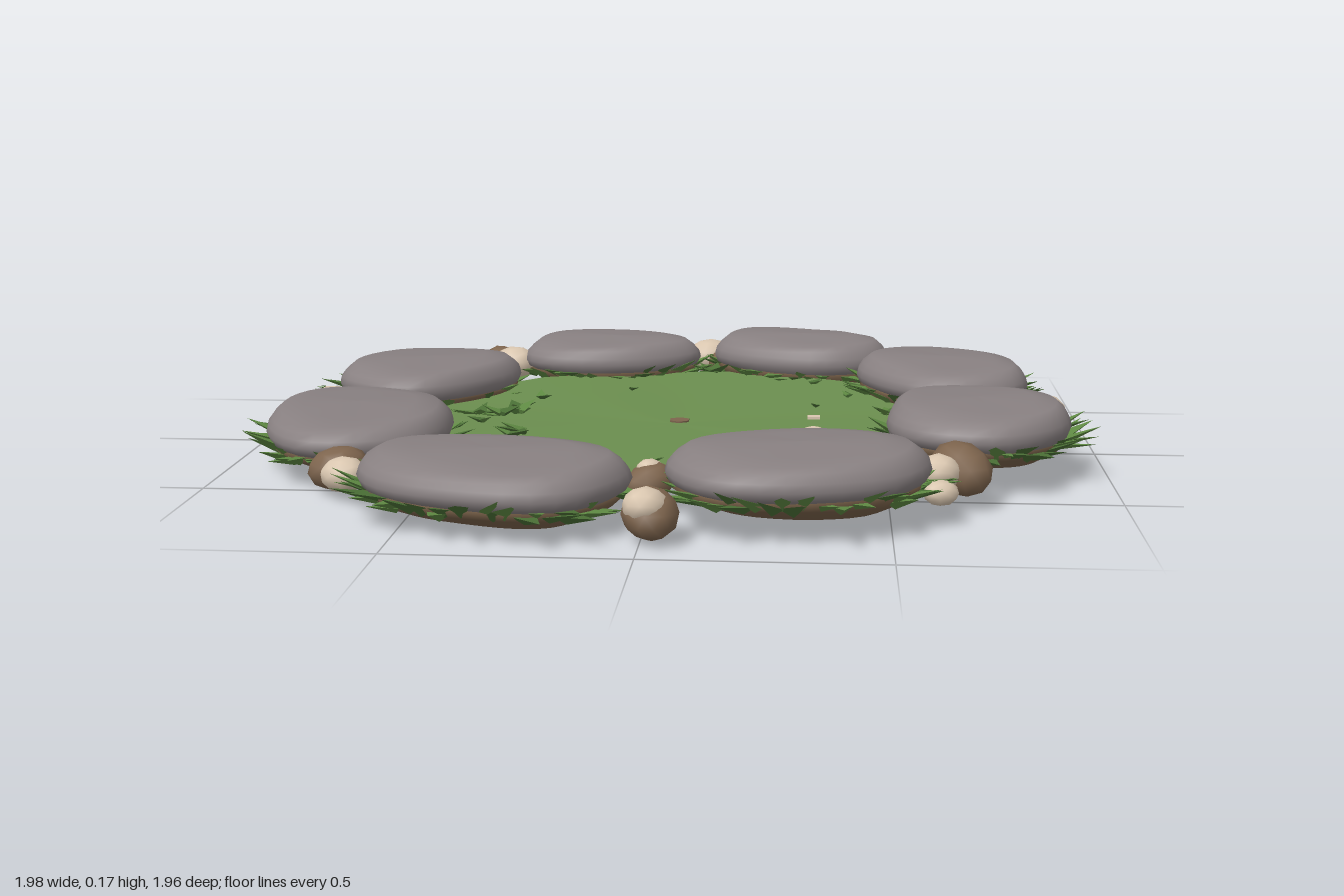
import * as THREE from 'three';
import { mergeGeometries } from 'three/addons/utils/BufferGeometryUtils.js';

const mat = (name, color, extra = {}) => new THREE.MeshStandardMaterial({ name, color, ...extra });

function seeded(seed) {
  return () => {
    seed = (seed * 16807) % 2147483647;
    return seed / 2147483647;
  };
}

// Centre x, z, half length, half width, turn, base height, top height
const STONES = [
  [-0.225, -0.73, 0.24, 0.182, 0.2, 0.012, 0.156],
  [0.295, -0.715, 0.24, 0.182, -0.4, 0.02, 0.17],
  [0.66, -0.35, 0.25, 0.2, -1.2, 0.03, 0.175],
  [0.705, 0.205, 0.25, 0.206, 1.45, 0.03, 0.178],
  [0.315, 0.665, 0.28, 0.215, 0.4, 0.02, 0.168],
  [-0.32, 0.695, 0.293, 0.222, -0.3, 0, 0.15],
  [-0.715, 0.205, 0.283, 0.215, -1.4, 0.002, 0.146],
  [-0.66, -0.38, 0.25, 0.205, 1.0, 0.008, 0.152],
];

const lawnHeight = (x, z) => 0.06 + 0.012 * x + 0.03 * (x * x + z * z);

// Rounded-oblong outline of a stone, with a gentle irregularity
function outline(a, b, t, seed) {
  const c = Math.cos(t), s = Math.sin(t), e = 2 / 2.2;
  const k = 1 + 0.018 * Math.sin(3 * t + seed) + 0.012 * Math.sin(5 * t + 2 * seed);
  return [a * k * Math.sign(c) * Math.abs(c) ** e, b * k * Math.sign(s) * Math.abs(s) ** e];
}

// Closed lump from [scale, height] rings, listed bottom to top
function lump(a, b, rings, seed, n = 32) {
  const pos = [], idx = [];
  rings.forEach(([r, y], j) => {
    for (let i = 0; i < n; i++) {
      const t = (i / n) * Math.PI * 2;
      const [x, z] = outline(a, b, t, seed);
      const wob = r > 0 && r < 0.95 ? 0.004 * Math.sin(2 * t + seed * 1.7 + j) : 0;
      pos.push(x * r, y + wob, z * r);
    }
  });
  for (let j = 0; j < rings.length - 1; j++) {
    for (let i = 0; i < n; i++) {
      const p = j * n + i, q = j * n + ((i + 1) % n);
      idx.push(p, p + n, q, q, p + n, q + n);
    }
  }
  const g = new THREE.BufferGeometry();
  g.setAttribute('position', new THREE.Float32BufferAttribute(pos, 3));
  g.setIndex(idx);
  g.computeVertexNormals();
  return g;
}

// Flattened three-sided spike starting at x, y, z and pointing along heading
function blade(x, y, z, heading, length, width, pitch) {
  const g = new THREE.ConeGeometry(width, length, 3, 1);
  g.translate(0, length / 2, 0);
  g.scale(1, 1, 0.4);
  g.rotateX(Math.PI / 2 - pitch);
  g.rotateY(heading);
  g.translate(x, y, z);
  return g;
}

export function createModel() {
  const model = new THREE.Group();
  const rand = seeded(4711);
  const between = (lo, hi) => lo + (hi - lo) * rand();

  const stoneGrey = mat('stone grey', 0x888081);
  const soil = mat('soil brown', 0x7a624a);
  const lawn = mat('lawn green', 0x6b8e4f, { side: THREE.DoubleSide });
  const leaf = mat('leaf green', 0x5f8a43, { flatShading: true });
  const darkLeaf = mat('dark leaf green', 0x4b7036, { flatShading: true });
  const paleRock = mat('pale pebble', 0xdac7b0);
  const brownRock = mat('brown pebble', 0x7d644d);

  const add = (name, geometry, material, parent = model) => {
    const m = new THREE.Mesh(geometry, material);
    m.name = name;
    parent.add(m);
  };

  // Lawn: thin, slightly dished sheet reaching out between the stones
  const disc = new THREE.RingGeometry(0.001, 0.64, 40, 6).rotateX(-Math.PI / 2);
  const p = disc.attributes.position;
  for (let i = 0; i < p.count; i++) {
    const x = p.getX(i), z = p.getZ(i), r = Math.hypot(x, z), t = Math.atan2(z, x);
    const k = 1 + 0.03 * Math.sin(8 * t + 0.6) * (r / 0.64);
    p.setXYZ(i, x * k, lawnHeight(x, z) + 0.005 * Math.sin(5 * t) * r, z * k);
  }
  disc.computeVertexNormals();
  add('lawn', disc, lawn);
  add('lawnCentre', new THREE.CylinderGeometry(0.026, 0.026, 0.008, 6).translate(0.012, 0.06, -0.035), brownRock);

  // Stones, each on a soil mound with grass around its rim
  const bright = [], dark = [];
  const grow = (...args) => (rand() < 0.6 ? bright : dark).push(blade(...args));
  STONES.forEach(([x, z, a, b, turn, base, top], s) => {
    const place = new THREE.Group();
    place.name = 'stone' + (s + 1);
    place.position.set(x, 0, z);
    place.rotation.y = turn;
    model.add(place);

    const low = base + 0.062, h = top - low;
    add('stoneTop', lump(a, b, [
      [0, low], [0.9, low], [0.97, low + h * 0.12], [1, low + h * 0.32], [0.98, low + h * 0.52],
      [0.93, low + h * 0.72], [0.84, low + h * 0.88], [0.6, top - 0.004], [0, top],
    ], s), stoneGrey, place);
    add('soilMound', lump(a, b, [
      [0, base + 0.004], [0.4, base + 0.007], [0.68, base + 0.02], [0.87, base + 0.042],
      [0.96, base + 0.062], [0.9, base + 0.072], [0, base + 0.078],
    ], s), soil, place);

    const out = Math.atan2(x, z);
    const count = 56;
    for (let i = 0; i < count; i++) {
      const t = ((i + between(-0.4, 0.4)) / count) * Math.PI * 2;
      const [lx, lz] = outline(a, b, t, s);
      const c = Math.cos(turn), sn = Math.sin(turn);
      const ox = lx * c + lz * sn, oz = -lx * sn + lz * c;
      const heading = Math.atan2(ox, oz);
      const outer = Math.cos(heading - out) > 0;
      if (!outer && rand() < 0.4) continue;
      const length = outer ? between(0.06, 0.105) : between(0.05, 0.085);
      grow(x + ox * 0.87, base + between(0.045, 0.062), z + oz * 0.87,
        heading + between(-0.5, 0.5), length, between(0.02, 0.034), between(0.1, 0.5));
    }
  });

  // Grass tufts in the gaps between stones
  [[0.03, -0.89], [-0.49, -0.1], [-0.6, 0.5], [-0.03, 0.74], [0.56, 0.48], [0.5, -0.56], [-0.8, -0.2],
    [-0.56, -0.62], [0.52, -0.1], [0.06, -0.68]].forEach(([x, z]) => {
    for (let i = 0; i < 7; i++) {
      grow(x, 0.062 + 0.015 * x, z, i * 0.9 + between(-0.3, 0.3), between(0.05, 0.08), between(0.02, 0.03), between(0.1, 0.5));
    }
  });

  // Loose leaves lying on the lawn
  [[-0.39, -0.1, 0.035], [-0.43, -0.07, 0.03], [-0.4, -0.14, 0.025], [-0.34, 0.14, 0.035], [-0.37, 0.17, 0.025],
    [-0.46, 0.02, 0.02], [-0.36, -0.28, 0.02], [-0.14, -0.4, 0.012], [0.34, -0.19, 0.014], [0.33, -0.46, 0.018],
    [0.4, 0.38, 0.018], [0.47, 0.3, 0.02], [-0.34, 0.42, 0.024], [-0.02, 0.46, 0.018], [0.42, -0.3, 0.015],
  ].forEach(([x, z, w]) => {
    const y = lawnHeight(x, z) + 0.004;
    dark.push(blade(x, y, z, between(0, 6.28), w * 2, w, 0.25));
    bright.push(blade(x, y, z, between(0, 6.28), w * 1.8, w * 0.8, 0.4));
  });
  add('grassBlades', mergeGeometries(bright), leaf);
  add('darkGrassBlades', mergeGeometries(dark), darkLeaf);

  // Pebbles in the gaps: x, y, z, radius, material
  const pebbles = [
    [-0.495, 0.08, -0.68, 0.06, paleRock], [-0.575, 0.072, -0.69, 0.055, paleRock],
    [-0.53, 0.09, -0.715, 0.042, brownRock],
    [0.04, 0.08, -0.85, 0.06, paleRock], [0.075, 0.07, -0.8, 0.04, brownRock],
    [0.585, 0.09, -0.63, 0.052, paleRock], [0.53, 0.075, -0.6, 0.045, brownRock],
    [0.88, 0.088, -0.085, 0.055, paleRock], [0.83, 0.08, -0.13, 0.035, paleRock],
    [-0.86, 0.06, -0.165, 0.062, paleRock], [-0.8, 0.055, -0.13, 0.045, paleRock],
    [0.65, 0.085, 0.53, 0.068, brownRock], [0.6, 0.085, 0.575, 0.052, paleRock],
    [0.6, 0.07, 0.69, 0.034, paleRock],
    [-0.69, 0.06, 0.52, 0.06, brownRock], [-0.665, 0.058, 0.575, 0.05, paleRock],
    [0, 0.07, 0.64, 0.05, brownRock], [0, 0.092, 0.625, 0.03, paleRock],
    [0.02, 0.062, 0.87, 0.062, brownRock], [0.012, 0.078, 0.88, 0.05, paleRock],
  ];
  pebbles.forEach(([x, y, z, r, m]) => {
    const g = new THREE.IcosahedronGeometry(r, 1);
    g.scale(1.15, 0.8, 0.95).rotateZ(between(-0.3, 0.3)).rotateY(between(0, 6));
    add('pebble', g.translate(x, y, z), m);
  });

  // Small chips on the lawn
  [[0.335, -0.06], [0.335, 0.075], [0.21, 0.215], [-0.12, 0.43]].forEach(([x, z], i) => {
    const g = new THREE.BoxGeometry(0.03, 0.01, 0.026).rotateY(i * 0.9);
    add('chip', g.translate(x, lawnHeight(x, z), z), i === 3 ? brownRock : paleRock);
  });

  return model;
}
